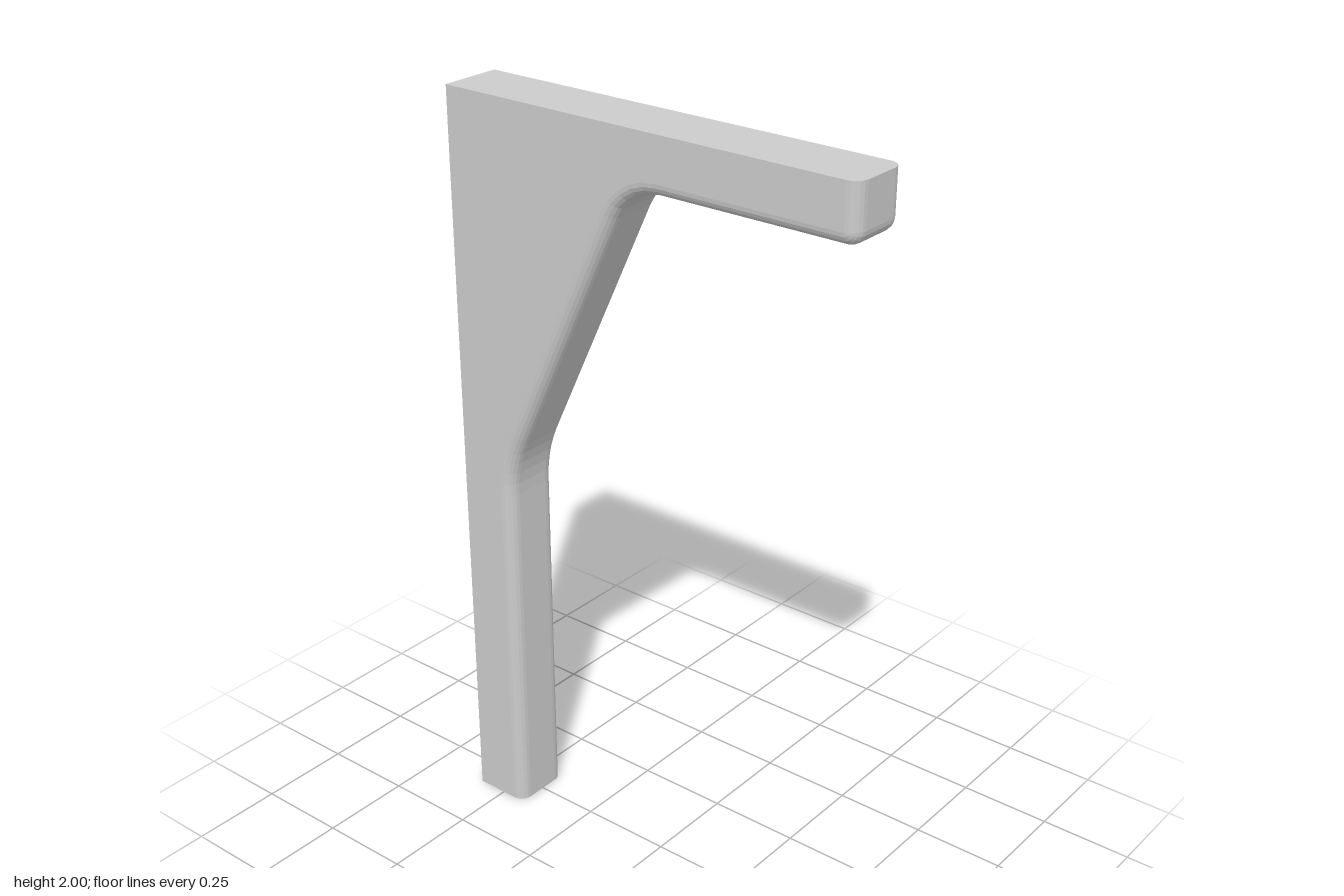
import * as THREE from 'three';
import { mergeGeometries } from 'three/addons/utils/BufferGeometryUtils.js';

const HALF_W = 0.083, BACK = -0.583, TIP = 0.583, TOP = 2;
const ROUND = 0.033; // rounding of the long front edges
const STEPS = 5;

// Inner outline in (z, y), from foot to arm tip; t = tangent length of the rounded corner
const corners = [
  { z: -0.427, y: 0 },
  { z: -0.427, y: 1.033, t: 0.08 },
  { z: -0.041, y: 1.854, t: 0.09 },
  { z: TIP, y: 1.854, t: 0.035 },
  { z: TIP, y: TOP },
];

// Outline points, each with its normal (nz, ny) pointing into the material
function outline() {
  const pts = [];
  const add = (z, y, a) => pts.push({ z, y, nz: -Math.sin(a), ny: Math.cos(a) });
  const heading = (p, q) => Math.atan2(q.y - p.y, q.z - p.z);
  corners.forEach((c, i) => {
    const prev = corners[i - 1], next = corners[i + 1];
    if (!prev || !next) return add(c.z, c.y, prev ? heading(prev, c) : heading(c, next));
    const a0 = heading(prev, c), turn = heading(c, next) - a0;
    const r = c.t / Math.tan(turn / 2); // signed radius
    const cz = c.z - c.t * Math.cos(a0) - r * Math.sin(a0);
    const cy = c.y - c.t * Math.sin(a0) + r * Math.cos(a0);
    for (let k = 0; k <= STEPS; k++) {
      const a = a0 + (turn * k) / STEPS;
      add(cz + r * Math.sin(a), cy - r * Math.cos(a), a);
    }
  });
  return pts;
}

// Copies of the outline across the width, inset near both sides
function makeLayers() {
  const pts = outline(), layers = [];
  for (const s of [-1, 1]) {
    for (let k = 0; k <= STEPS; k++) {
      const a = ((s < 0 ? k - STEPS : k) / STEPS) * Math.PI / 2;
      const x = s * (HALF_W - ROUND) + ROUND * Math.sin(a);
      const inset = ROUND * (1 - Math.cos(a));
      layers.push(pts.map(p => new THREE.Vector3(x, p.y + p.ny * inset, p.z + p.nz * inset)));
    }
  }
  return layers;
}

// Flat face from 2D points
function flatFace(points) {
  return new THREE.ShapeGeometry(new THREE.Shape(points.map(p => new THREE.Vector2(p[0], p[1]))));
}

export function createModel() {
  const layers = makeLayers(), n = layers[0].length;

  // Rounded inner surface
  const tri = [];
  for (let i = 0; i < layers.length - 1; i++) {
    for (let j = 0; j < n - 1; j++) {
      const a = layers[i][j], b = layers[i + 1][j], c = layers[i + 1][j + 1], d = layers[i][j + 1];
      tri.push(a, b, c, a, c, d);
    }
  }
  const inner = new THREE.BufferGeometry().setFromPoints(tri);
  inner.computeVertexNormals();

  // Flat sides
  const side = s => flatFace([...layers[0].map(p => [-s * p.z, p.y]), [-s * BACK, TOP], [-s * BACK, 0]])
    .rotateY(s * Math.PI / 2).translate(s * HALF_W, 0, 0);

  // Top and foot faces, following the rounded front edge
  const end = (s, j, y) => flatFace([...layers.map(l => [l[j].x, -s * l[j].z]), [HALF_W, -s * BACK], [-HALF_W, -s * BACK]])
    .rotateX(-s * Math.PI / 2).translate(0, y, 0);

  // Flat back
  const back = new THREE.PlaneGeometry(2 * HALF_W, TOP).rotateY(Math.PI).translate(0, TOP / 2, BACK);

  const flats = [side(1), side(-1), end(1, n - 1, TOP), end(-1, 0, 0), back].map(g => {
    const flat = g.toNonIndexed();
    flat.deleteAttribute('uv');
    return flat;
  });

  const bracket = new THREE.Mesh(
    mergeGeometries([inner, ...flats]),
    new THREE.MeshStandardMaterial({ color: 0xcccccc, flatShading: true })
  );
  bracket.name = 'bracket';
  const group = new THREE.Group();
  group.name = 'supportBracket';
  group.add(bracket);
  return group;
}
